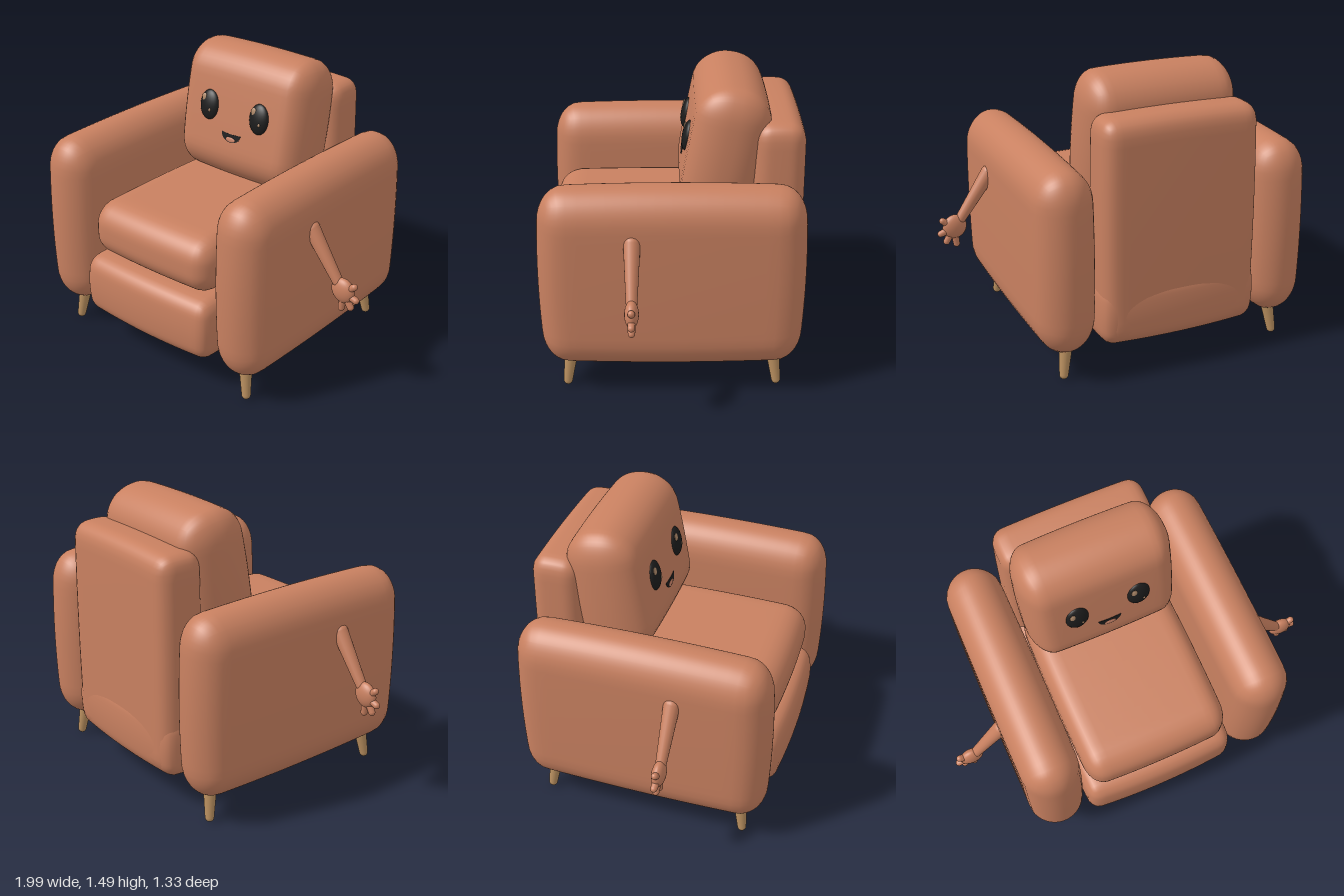
import * as THREE from 'three';
import { mergeVertices } from 'three/addons/utils/BufferGeometryUtils.js';

const material = (name, color) => {
  const m = new THREE.MeshStandardMaterial({ color });
  m.name = name;
  return m;
};

// Plump cushion: a box with elliptical edge radii and gently bulging faces
function cushion(size, radii, bulge) {
  const n = 24;
  let geo = new THREE.BoxGeometry(2, 2, 2, n, n, n);
  geo.deleteAttribute('normal');
  geo.deleteAttribute('uv');
  geo = mergeVertices(geo);
  const pos = geo.attributes.position;
  const half = size.map((s) => s / 2);
  for (let i = 0; i < pos.count; i++) {
    const p = [pos.getX(i), pos.getY(i), pos.getZ(i)]
      .map((u, k) => Math.sin((u * Math.PI) / 2) * half[k]);
    const core = p.map((v, k) => THREE.MathUtils.clamp(v, radii[k] - half[k], half[k] - radii[k]));
    const d = p.map((v, k) => (v - core[k]) / radii[k]);
    const len = Math.hypot(...d) || 1;
    const q = core.map((c, k) => c + (d[k] / len) * radii[k]);
    const sq = q.map((v, k) => (v / half[k]) ** 2);
    const sum = sq[0] + sq[1] + sq[2];
    pos.setXYZ(i, ...q.map((v, k) => v * (1 - (bulge * (sum - sq[k])) / 2)));
  }
  geo.computeVertexNormals();
  return geo;
}

// Tapered limb with round ends, running from point a to point b
function limb(a, b, ra, rb) {
  const from = new THREE.Vector3(...a), dir = new THREE.Vector3(...b).sub(from);
  const length = dir.length(), pts = [], steps = 6;
  for (let i = 0; i <= steps; i++) {
    const t = -Math.PI / 2 + (i / steps) * Math.PI / 2;
    pts.push(new THREE.Vector2(Math.cos(t) * ra, Math.sin(t) * ra));
  }
  for (let i = 0; i <= steps; i++) {
    const t = (i / steps) * Math.PI / 2;
    pts.push(new THREE.Vector2(Math.cos(t) * rb, length + Math.sin(t) * rb));
  }
  const geo = new THREE.LatheGeometry(pts, 20);
  geo.applyQuaternion(new THREE.Quaternion().setFromUnitVectors(new THREE.Vector3(0, 1, 0), dir.normalize()));
  return geo.translate(...a);
}

const ellipsoid = (rx, ry, rz) => new THREE.SphereGeometry(1, 28, 18).scale(rx, ry, rz);

export function createModel() {
  const model = new THREE.Group();
  model.name = 'armchair';
  const fabric = material('terracotta fabric', 0xc88060);
  const wood = material('light wood', 0xb98f5f);
  const black = material('black', 0x1c1c1c);
  const glint = material('eye glint', 0xb08b6b);
  const blush = material('blush', 0xd07a5c);
  const pink = material('tongue', 0xc98368);

  const add = (parent, name, geo, mat, x = 0, y = 0, z = 0) => {
    const mesh = new THREE.Mesh(geo, mat);
    mesh.name = name;
    mesh.position.set(x, y, z);
    parent.add(mesh);
    return mesh;
  };

  const body = new THREE.Group();
  body.name = 'body';
  body.position.x = -0.006;
  model.add(body);

  // Upholstery
  add(body, 'base', cushion([0.86, 0.35, 1.33], [0.06, 0.08, 0.07], 0.06), fabric, 0, 0.335, 0);
  add(body, 'seatCushion', cushion([0.8, 0.31, 1.04], [0.09, 0.12, 0.12], 0.05), fabric, 0, 0.655, 0.1);
  add(body, 'backrest', cushion([0.83, 1.16, 0.26], [0.07, 0.08, 0.08], 0.04), fabric, 0, 0.75, -0.527);

  // Head cushion, leaning back, with the face on its front
  const head = new THREE.Group();
  head.name = 'headCushion';
  head.position.set(0, 1.13, -0.265);
  head.rotation.x = -0.18;
  body.add(head);
  add(head, 'headPad', cushion([0.81, 0.72, 0.39], [0.1, 0.16, 0.18], 0.06), fabric);

  for (const s of [-1, 1]) {
    const x = s * 0.165;
    add(head, 'eye', ellipsoid(0.061, 0.081, 0.03), black, x, 0.025, 0.19);
    add(head, 'largeGlint', ellipsoid(0.016, 0.021, 0.006), glint, x - 0.026, 0.063, 0.212);
    add(head, 'smallGlint', ellipsoid(0.007, 0.009, 0.004), glint, x + 0.02, 0.002, 0.217);
    add(head, 'cheek', ellipsoid(0.036, 0.018, 0.008), blush, s * 0.232, -0.06, 0.184);
  }

  // Smiling mouth with tongue
  const smile = new THREE.Shape();
  smile.moveTo(-0.063, 0.026);
  smile.quadraticCurveTo(0, 0.016, 0.063, 0.026);
  smile.bezierCurveTo(0.058, -0.04, -0.058, -0.04, -0.063, 0.026);
  add(head, 'mouth', new THREE.ExtrudeGeometry(smile, { depth: 0.009, bevelEnabled: false, curveSegments: 16 }),
    black, 0, -0.118, 0.187);
  add(head, 'tongue', ellipsoid(0.031, 0.013, 0.004), pink, 0, -0.126, 0.196);

  for (const s of [-1, 1]) {
    // Armrests and splayed legs
    add(body, 'armrest', cushion([0.31, 0.96, 1.31], [0.15, 0.16, 0.12], 0.06), fabric, s * 0.573, 0.62, 0);
    for (const f of [-1, 1]) {
      add(body, 'leg', limb([s * 0.59, 0.023, f * 0.528], [s * 0.562, 0.22, f * 0.502], 0.023, 0.037), wood);
    }

    // Little arm with an open hand
    const arm = new THREE.Group();
    arm.name = s > 0 ? 'leftArm' : 'rightArm';
    body.add(arm);
    const z = 0.19;
    add(arm, 'forearm', limb([s * 0.71, 0.86, z], [s * 0.872, 0.63, z], 0.041, 0.027), fabric);
    const palm = add(arm, 'palm', ellipsoid(0.062, 0.066, 0.034), fabric, s * 0.905, 0.592, z);
    palm.rotation.z = s * 0.6;
    const tips = [[0.967, 0.632], [0.98, 0.562], [0.952, 0.515], [0.9, 0.495]];
    for (const [tx, ty] of tips) {
      add(arm, 'finger', limb([s * 0.91, 0.587, z], [s * tx, ty, z], 0.021, 0.017), fabric);
    }
  }
  return model;
}
